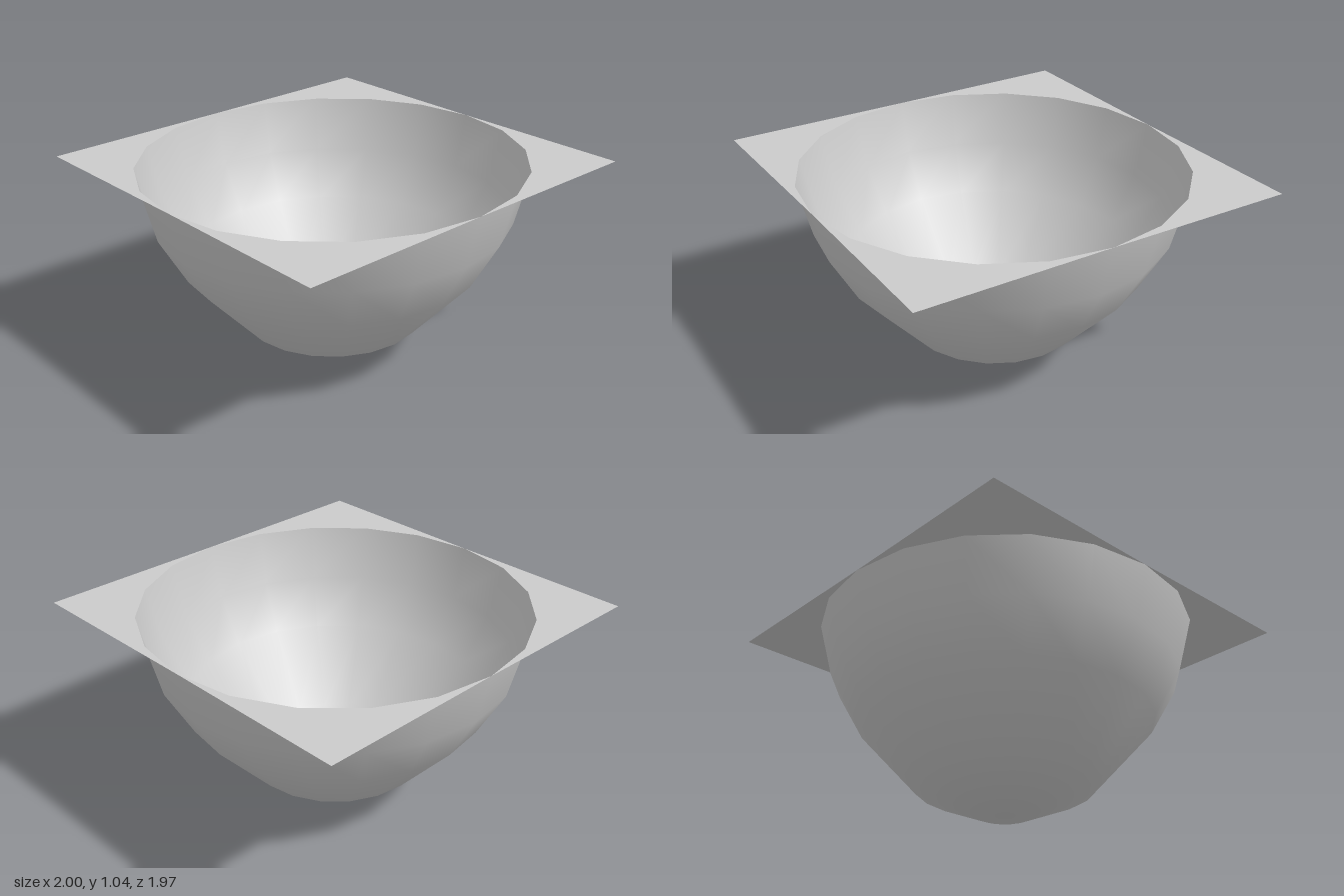
import * as THREE from 'three';

const SIDES = 20;
const DEPTH = 0.985; // the bowl is slightly shorter along z
const RIM = 1.033;
const TILT = 0.011; // the rim rises slightly towards +x

// Lean a geometry: the higher a vertex, the more it rises towards +x
function lean(geometry) {
  const p = geometry.attributes.position;
  for (let i = 0; i < p.count; i++) {
    p.setY(i, p.getY(i) + TILT * p.getX(i) * (p.getY(i) / RIM));
  }
  return geometry;
}

export function createModel() {
  const model = new THREE.Group();
  model.name = 'squareRimmedBowl';
  const material = new THREE.MeshStandardMaterial({ color: 0xcccccc, side: THREE.DoubleSide });

  // Thin round bowl
  const profile = [[0, 0.003], [0.16, 0.02], [0.475, 0.163], [0.785, 0.505], [0.925, 0.755], [0.995, RIM]]
    .map(([r, y]) => new THREE.Vector2(r, y));
  const bowlGeometry = new THREE.LatheGeometry(profile, SIDES);
  bowlGeometry.scale(1, 1, DEPTH);
  const bowl = new THREE.Mesh(lean(bowlGeometry), material);
  bowl.name = 'bowl';
  model.add(bowl);

  // Four flat corners that square off the round rim
  for (let k = 0; k < 4; k++) {
    const start = k * Math.PI / 2;
    const points = [];
    for (let i = 0; i <= SIDES / 4; i++) {
      const a = start + i * 2 * Math.PI / SIDES;
      points.push(new THREE.Vector2(0.995 * Math.cos(a), 0.995 * Math.sin(a)));
    }
    const mid = start + Math.PI / 4;
    points.push(new THREE.Vector2(Math.sign(Math.cos(mid)), Math.sign(Math.sin(mid))));
    const geometry = new THREE.ShapeGeometry(new THREE.Shape(points));
    geometry.rotateX(-Math.PI / 2);
    geometry.scale(1, 1, DEPTH);
    geometry.translate(0, RIM, 0);
    const corner = new THREE.Mesh(lean(geometry), material);
    corner.name = 'rimCorner' + (k + 1);
    model.add(corner);
  }
  return model;
}
